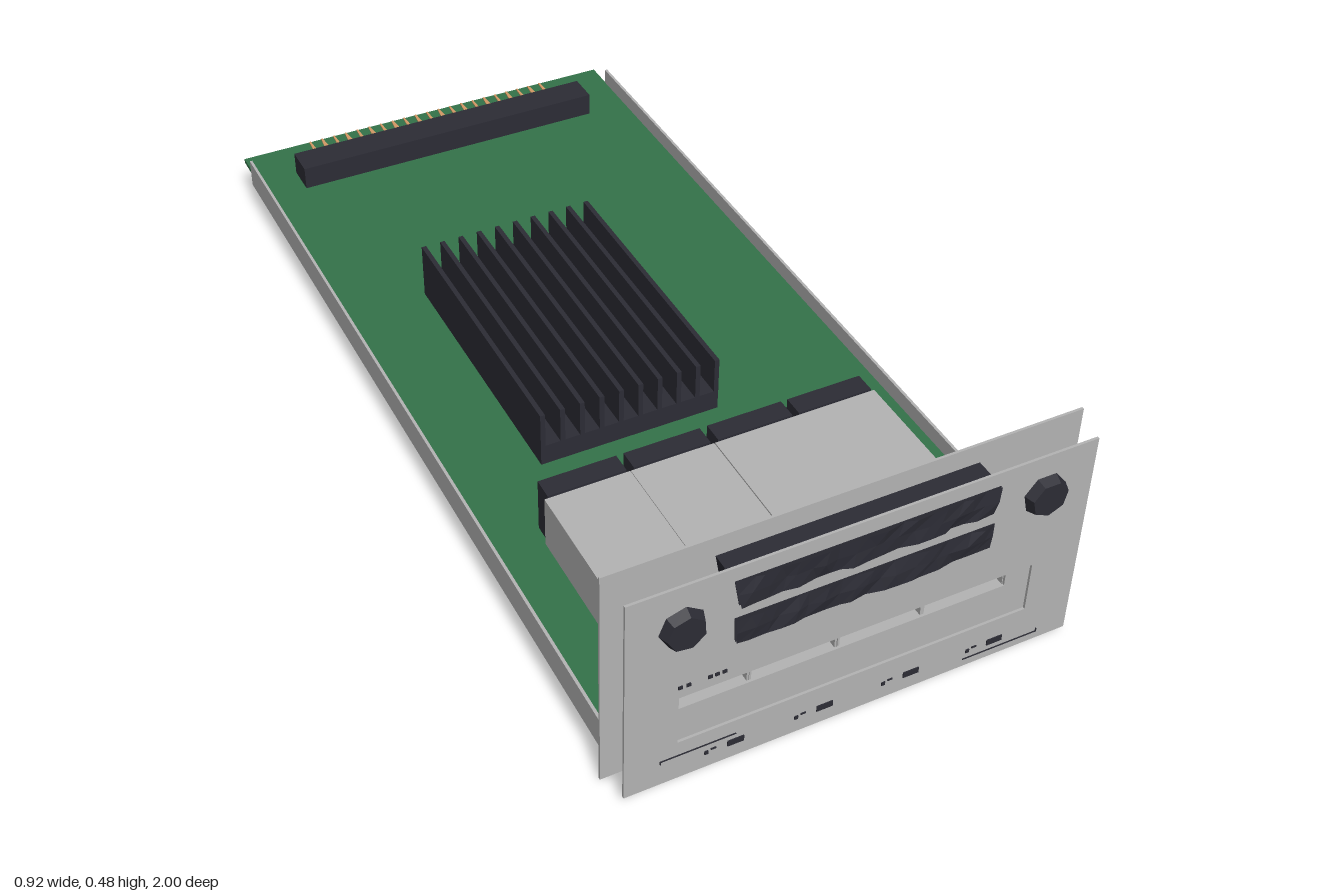
import * as THREE from 'three';

const mat = (name, color, extra = {}) => {
  const m = new THREE.MeshStandardMaterial({ color, ...extra });
  m.name = name;
  return m;
};

export function createModel() {
  const metal = mat('grey metal', 0xb4b4b4);
  const green = mat('board green', 0x34734a);
  const dark = mat('dark plastic', 0x2c2c35);
  const gold = mat('gold contacts', 0xd0a850);
  const copper = mat('copper fingers', 0xd39a66);

  const root = new THREE.Group();
  root.name = 'interfaceCard';
  const group = (name) => {
    const g = new THREE.Group();
    g.name = name;
    root.add(g);
    return g;
  };
  const add = (parent, name, geo, material, x = 0, y = 0, z = 0) => {
    const m = new THREE.Mesh(geo, material);
    m.name = name;
    m.position.set(x, y, z);
    parent.add(m);
    return m;
  };
  // Box given by its limits on each axis
  const box = (parent, name, material, x0, x1, y0, y1, z0, z1) =>
    add(parent, name, new THREE.BoxGeometry(x1 - x0, y1 - y0, z1 - z0), material,
      (x0 + x1) / 2, (y0 + y1) / 2, (z0 + z1) / 2);
  const poly = (pts) => pts.map(([x, y]) => new THREE.Vector2(x, y));
  const rect = (x0, x1, y0, y1) => [[x0, y0], [x1, y0], [x1, y1], [x0, y1]];
  // Outline with an optional hole, extruded from z0 to z1
  const slab = (parent, name, material, outline, hole, z0, z1) => {
    const s = new THREE.Shape(poly(outline));
    if (hole) s.holes.push(new THREE.Path(poly(hole)));
    return add(parent, name, new THREE.ExtrudeGeometry(s, { depth: z1 - z0, bevelEnabled: false }),
      material, 0, 0, z0);
  };

  // Circuit board and side rails
  box(root, 'circuitBoard', green, -0.45, 0.45, 0.09, 0.1, -1, 0.912);
  for (const s of [-1, 1]) {
    box(root, s < 0 ? 'rightRail' : 'leftRail', metal, s * 0.452 - 0.003, s * 0.452 + 0.003,
      0.07, 0.135, -0.935, 0.915);
  }

  // Two parallel face plates with one wide opening for the ports
  const opening = rect(-0.347, 0.349, 0.105, 0.215);
  slab(root, 'rearFacePlate', metal, rect(-0.46, 0.46, 0, 0.484), opening, 0.912, 0.917);
  slab(root, 'frontFacePlate', metal, rect(-0.447, 0.447, 0.015, 0.473), opening, 0.976, 0.981);

  // Port cages with their connectors
  const ports = group('ports');
  for (const cx of [-0.261, -0.086, 0.09, 0.264]) {
    slab(ports, 'portCage', metal, rect(cx - 0.087, cx + 0.087, 0.101, 0.213),
      rect(cx - 0.083, cx + 0.083, 0.105, 0.21), 0.455, 0.912);
    box(ports, 'connectorBlock', dark, cx - 0.08, cx + 0.08, 0.1, 0.217, 0.41, 0.454);
    box(ports, 'connectorFace', dark, cx - 0.083, cx + 0.083, 0.105, 0.21, 0.456, 0.475);
    slab(ports, 'receptacle', dark, rect(cx - 0.067, cx + 0.067, 0.108, 0.153),
      rect(cx - 0.06, cx + 0.06, 0.128, 0.149), 0.475, 0.52);
    for (const y of [0.133, 0.144]) {
      for (let i = 0; i < 11; i++) {
        const x = cx - 0.053 + i * 0.0106;
        box(ports, 'contact', gold, x - 0.0035, x + 0.0035, y - 0.002, y + 0.002, 0.475, 0.515);
      }
    }
  }

  // Heat sink
  const sink = group('heatSink');
  box(sink, 'heatSinkBase', dark, -0.265, 0.12, 0.1, 0.145, -0.343, 0.255);
  for (let i = 0; i < 10; i++) {
    const x = -0.26 + i * 0.0417;
    box(sink, 'heatSinkFin', dark, x - 0.005, x + 0.005, 0.145, 0.223, -0.343, 0.255);
  }

  // Rear connector bar and tapered edge contacts
  box(root, 'rearConnector', dark, -0.36, 0.355, 0.1, 0.152, -0.895, -0.825);
  const fingers = group('edgeContacts');
  for (let i = 0; i < 21; i++) {
    const x = -0.29 + i * 0.0295;
    const tip = [0.925, 0.955, 0.915, 0.96][i % 4];
    const s = new THREE.Shape(poly([[x - 0.006, tip], [x + 0.006, tip], [x + 0.002, 0.998], [x - 0.002, 0.998]]));
    const f = add(fingers, 'edgeContact', new THREE.ExtrudeGeometry(s, { depth: 0.003, bevelEnabled: false }),
      copper, 0, 0.1, 0);
    f.rotation.x = -Math.PI / 2;
  }

  // Slotted vents: frame behind, duct between the plates, faceted grille in front
  let seed = 7;
  const rnd = () => (seed = (seed * 16807) % 2147483647) / 2147483647;
  const vents = group('vents');
  for (const [y0, y1, top, bottom] of [[0.386, 0.443, 0.253, 0.243], [0.303, 0.358, 0.25, 0.247]]) {
    const ym = (y0 + y1) / 2;
    const e = 0.012;
    const outline = (d) => [[-bottom + d, y0 + d], [bottom - d, y0 + d], [top - d, y1 - d], [-top + d, y1 - d]];
    const ring = (d) => [[-0.24 + d, y0 + d], [0.24 - d, y0 + d], [0.253 - d, ym],
      [0.24 - d, y1 - d], [-0.24 + d, y1 - d], [-0.253 + d, ym]];
    slab(vents, 'ventRearFrame', dark, ring(0), ring(e), 0.88, 0.912);
    slab(vents, 'ventDuct', dark, outline(0), null, 0.917, 0.982);
    const grid = new THREE.PlaneGeometry(1, y1 - y0, 18, 2);
    const p = grid.attributes.position;
    for (let i = 0; i < p.count; i++) {
      const t = p.getY(i) / (y1 - y0) + 0.5;
      const half = bottom + (top - bottom) * t;
      const edge = Math.abs(p.getX(i)) > 0.49;
      p.setX(i, (p.getX(i) + (edge ? 0 : (rnd() - 0.5) * 0.04)) * 2 * half);
      p.setZ(i, rnd() * 0.009);
    }
    const facets = grid.toNonIndexed();
    facets.computeVertexNormals();
    add(vents, 'ventGrille', facets, dark, 0, ym, 0.9825);
  }

  // Faceted thumb screws
  for (const [x, y, turn] of [[-0.345, 0.383, 0.3], [0.348, 0.387, 0.9]]) {
    const head = new THREE.CylinderGeometry(0.036, 0.045, 0.024, 7).toNonIndexed();
    head.computeVertexNormals();
    head.rotateY(turn);
    head.rotateX(Math.PI / 2);
    add(root, 'thumbScrew', head, dark, x, y, 0.988);
    const shaft = new THREE.CylinderGeometry(0.007, 0.007, 0.036, 8).rotateX(Math.PI / 2);
    add(root, 'screwShaft', shaft, dark, x - Math.sign(x) * 0.03, y, 0.96);
  }

  // Indicator windows and fine printed lines on the front plate
  const marks = group('frontMarkings');
  const mark = (name, x0, x1, y0, y1) => box(marks, name, dark, x0, x1, y0, y1, 0.981, 0.983);
  for (const x of [-0.235, -0.06, 0.115, 0.29]) {
    mark('indicator', x - 0.016, x + 0.016, 0.047, 0.06);
    mark('indicatorDot', x - 0.06, x - 0.053, 0.048, 0.056);
    mark('indicatorDash', x - 0.048, x - 0.038, 0.055, 0.058);
  }
  for (const x of [-0.345, -0.33, -0.29, -0.277, -0.263]) mark('smallDot', x - 0.004, x + 0.004, 0.237, 0.244);
  mark('upperLine', -0.38, -0.235, 0.072, 0.0735);
  mark('upperTick', -0.38, -0.3785, 0.066, 0.072);
  mark('lowerLine', 0.225, 0.383, 0.033, 0.0345);
  mark('lowerTick', 0.3815, 0.383, 0.0345, 0.041);

  return root;
}
